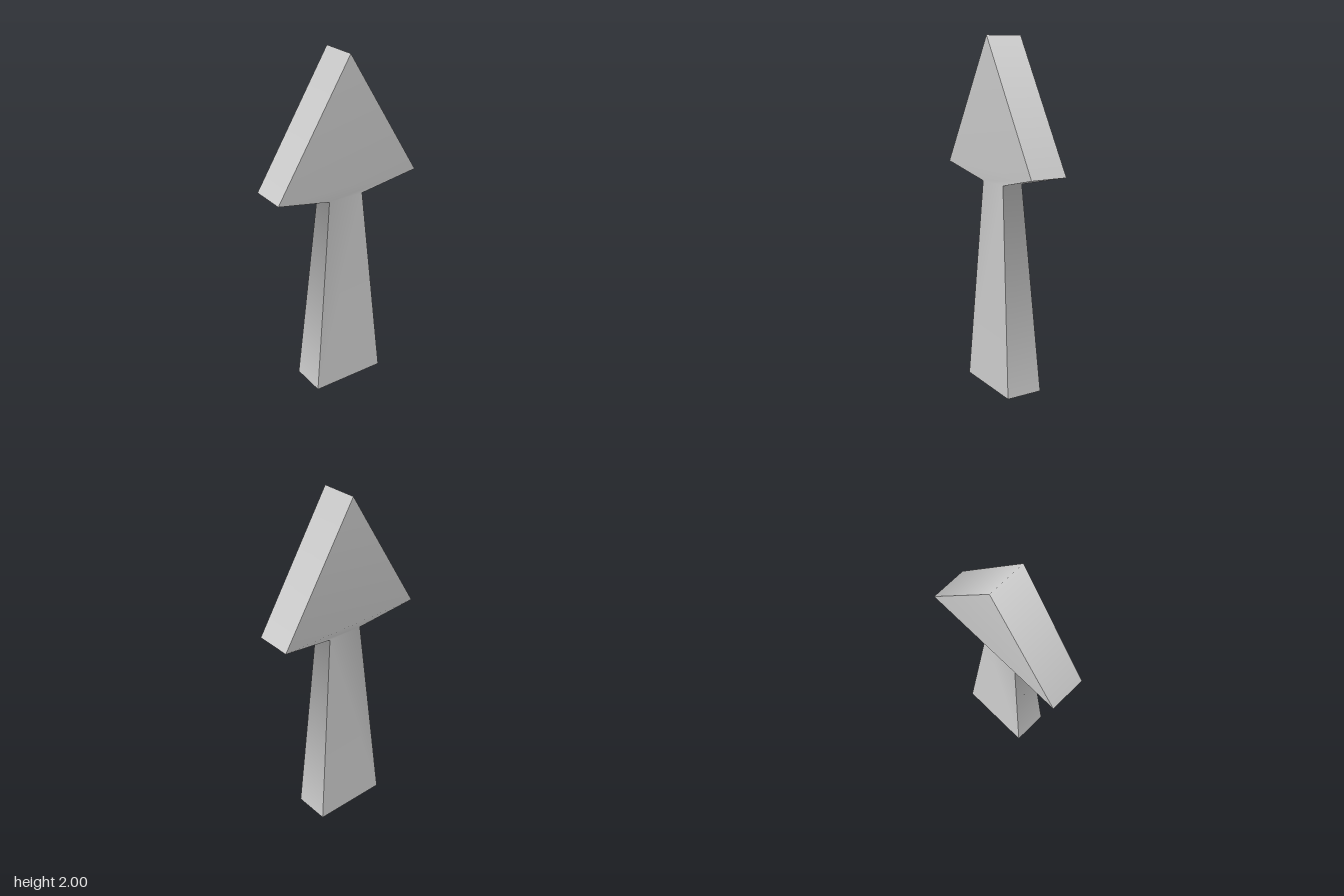
import * as THREE from 'three';

const material = new THREE.MeshStandardMaterial({ color: 0xcccccc });

// Half outline from tip to foot: [x, y, front z, back z]
const TIP = [0, 2, 0.108, -0.108];
const BARB = [0.45, 1.271, 0.108, -0.108];
const NECK = [0.109, 1.194, 0.071, -0.051];
const FOOT = [0.225, 0, 0.108, -0.108];
const mirror = ([x, y, f, b]) => [-x, y, f, b];

// One smooth patch; its edges stay sharp against the other patches
function patch(name, points, faces) {
  const geometry = new THREE.BufferGeometry();
  geometry.setAttribute('position', new THREE.Float32BufferAttribute(points.flat(), 3));
  geometry.setIndex(faces.flat());
  geometry.computeVertexNormals();
  const mesh = new THREE.Mesh(geometry, material);
  mesh.name = name;
  return mesh;
}

// Band across the thickness, following the outline clockwise as seen from the front
function band(name, outline) {
  const points = outline.flatMap(([x, y, f, b]) => [[x, y, f], [x, y, b]]);
  const faces = [];
  const sides = [];
  for (let i = 0; i < outline.length - 1; i++) {
    const a = 2 * i;
    faces.push([a, a + 2, a + 1], [a + 1, a + 2, a + 3]);
    const [[x0, y0], [x1, y1]] = [outline[i], outline[i + 1]];
    sides.push(new THREE.Vector3(y0 - y1, x1 - x0, 0).normalize());
  }
  const mesh = patch(name, points, faces);
  // Even normals: each corner takes the mean of the sides that meet there
  outline.forEach((_, i) => {
    const n = (sides[i - 1] ?? sides[i]).clone().add(sides[i] ?? sides[i - 1]).normalize();
    for (const k of [2 * i, 2 * i + 1]) mesh.geometry.attributes.normal.setXYZ(k, n.x, n.y, n.z);
  });
  return mesh;
}

export function createModel() {
  const group = new THREE.Group();
  group.name = 'arrow';

  // Broad faces: flat head triangle, a bevel down to the thin neck, then the shaft
  const outline = [TIP, BARB, NECK, FOOT, mirror(FOOT), mirror(NECK), mirror(BARB)];
  const faces = [[0, 6, 1], [6, 5, 1], [1, 5, 2], [2, 5, 4], [2, 4, 3]];
  group.add(patch('frontFace', outline.map(([x, y, f]) => [x, y, f]), faces));
  group.add(patch('backFace', outline.map(([x, y, , b]) => [x, y, b]),
    faces.map(([a, b, c]) => [a, c, b])));

  // Sloping edges of the head, rounded in shading over the tip
  group.add(band('headEdge', [mirror(BARB), TIP, BARB]));

  // Underside of each barb running into the shaft side
  group.add(band('leftShaftSide', [BARB, NECK, FOOT]));
  group.add(band('rightShaftSide', [FOOT, NECK, BARB].map(mirror)));

  // Flat foot
  group.add(band('base', [FOOT, mirror(FOOT)]));
  return group;
}
